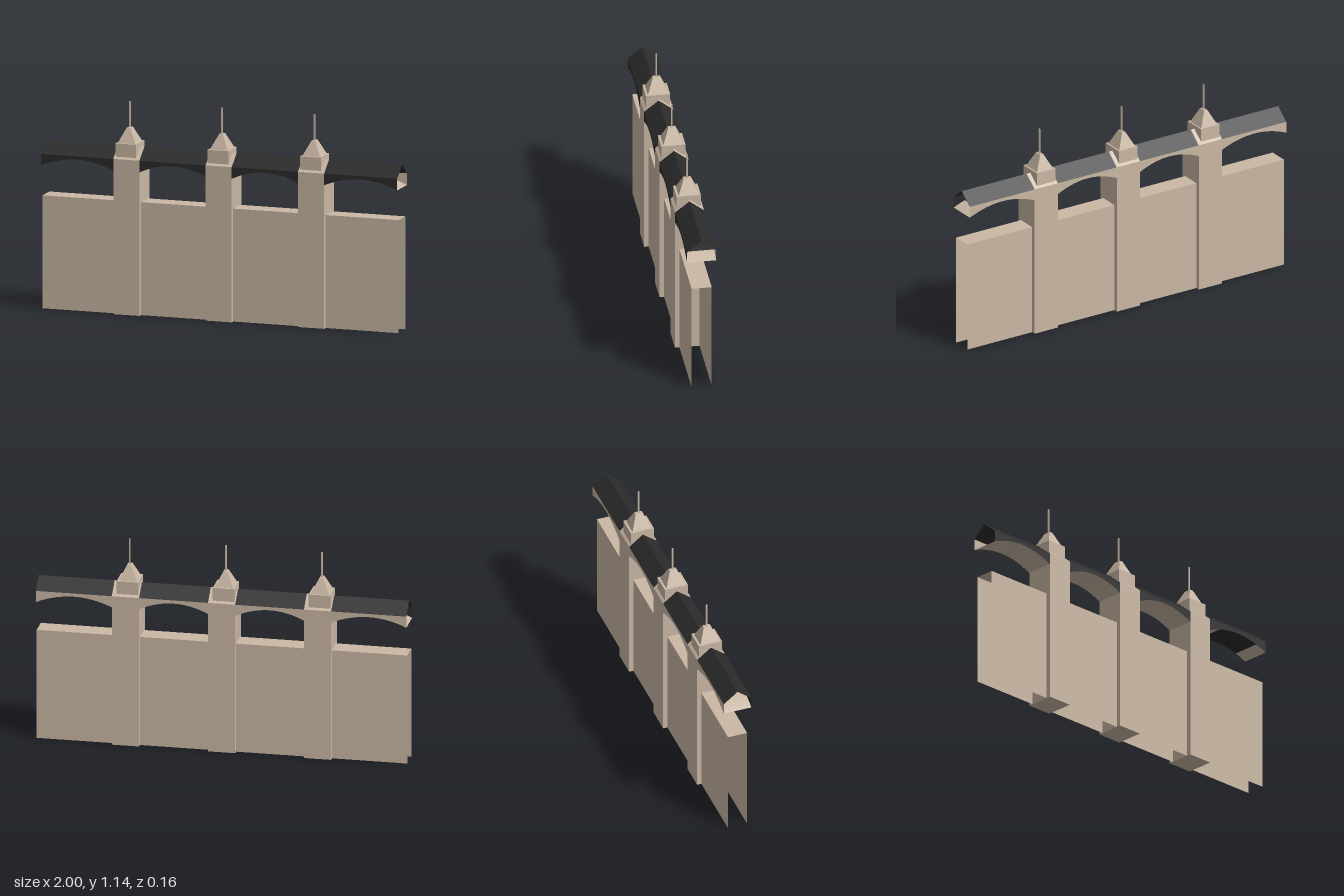
import * as THREE from 'three';

const stone = new THREE.MeshStandardMaterial({ color: 0xcab8a5, side: THREE.DoubleSide });
stone.name = 'stone';
const slate = new THREE.MeshStandardMaterial({ color: 0x2b2b2b, side: THREE.DoubleSide });
slate.name = 'slate';

const HALF = 0.078, EAVE = 0.838, RIDGE = 0.9;
const SPRING = 0.775, RISE = 0.045;
const WALL_Z = 0.054, WALL_TOP = 0.61;

function add(parent, name, geometry, material, x = 0, y = 0, z = 0) {
  const mesh = new THREE.Mesh(geometry, material);
  mesh.name = name;
  mesh.position.set(x, y, z);
  parent.add(mesh);
  return mesh;
}

// Open sheet: a [z, y] polyline swept along x from x0 to x1
function sweepX(profile, x0, x1) {
  const pos = [];
  for (let i = 0; i < profile.length - 1; i++) {
    const [za, ya] = profile[i], [zb, yb] = profile[i + 1];
    pos.push(x0, ya, za, x1, ya, za, x1, yb, zb, x0, ya, za, x1, yb, zb, x0, yb, zb);
  }
  const g = new THREE.BufferGeometry();
  g.setAttribute('position', new THREE.Float32BufferAttribute(pos, 3));
  g.computeVertexNormals();
  return g;
}

// Underside of an arch between parameters t0 and t1 (-1..1 across the bay)
function soffit(archPoint, t0, t1) {
  const g = new THREE.PlaneGeometry(1, 1, 16, 1);
  const p = g.attributes.position;
  for (let i = 0; i < p.count; i++) {
    const [x, y] = archPoint(t0 + (p.getX(i) + 0.5) * (t1 - t0));
    p.setXYZ(i, x, y, p.getY(i) > 0 ? HALF : -HALF);
  }
  g.computeVertexNormals();
  return g;
}

function makeBay(x0, x1, darkCrown) {
  const bay = new THREE.Group();
  bay.name = 'archBay';
  const mid = (x0 + x1) / 2, half = (x1 - x0) / 2;
  const archPoint = t => [mid + half * t, SPRING + RISE * (1 - t * t)];

  // spandrel faces above the arch
  const shape = new THREE.Shape();
  shape.moveTo(x0, EAVE);
  for (let i = 0; i <= 24; i++) shape.lineTo(...archPoint(-1 + i / 12));
  shape.lineTo(x1, EAVE);
  const face = new THREE.ShapeGeometry(shape);
  add(bay, 'frontSpandrel', face, slate, 0, 0, HALF);
  add(bay, 'backSpandrel', face.clone().rotateY(Math.PI).translate(2 * mid, 0, 0), stone, 0, 0, -HALF);

  // curved underside
  const c = 0.66;
  add(bay, 'archCrown', soffit(archPoint, -c, c), darkCrown ? slate : stone);
  add(bay, 'archFoot', soffit(archPoint, -1, -c), stone);
  add(bay, 'archFoot', soffit(archPoint, c, 1), stone);

  // thin pitched roof, open at its ends
  add(bay, 'roof', sweepX([[HALF, EAVE], [0, RIDGE], [-HALF, EAVE]], x0, x1), slate);

  // hollow wall: front, top and back sheets
  add(bay, 'wall', sweepX([[WALL_Z, 0], [WALL_Z, WALL_TOP], [-WALL_Z, WALL_TOP], [-WALL_Z, 0]], x0, x1), stone);
  return bay;
}

function makeTower(x0, x1) {
  const tower = new THREE.Group();
  tower.name = 'tower';
  const w = x1 - x0, mid = (x0 + x1) / 2, top = mid - 0.008;
  add(tower, 'pillar', new THREE.BoxGeometry(w, EAVE, HALF * 2), stone, mid, EAVE / 2);

  // stone gable across the pillar
  const gable = new THREE.Shape([
    new THREE.Vector2(-HALF, EAVE), new THREE.Vector2(HALF, EAVE), new THREE.Vector2(0, RIDGE),
  ]);
  const gableGeo = new THREE.ExtrudeGeometry(gable, { depth: w, bevelEnabled: false });
  add(tower, 'gable', gableGeo.rotateY(Math.PI / 2), stone, x0);

  // lantern block, tapered cap and spike
  add(tower, 'block', new THREE.BoxGeometry(0.117, 0.08, 0.13), stone, top, 0.88);
  const cap = new THREE.BoxGeometry(1, 0.08, 1);
  const p = cap.attributes.position;
  for (let i = 0; i < p.count; i++) {
    const up = p.getY(i) > 0;
    p.setX(i, Math.sign(p.getX(i)) * (up ? 0.01 : 0.05));
    p.setZ(i, Math.sign(p.getZ(i)) * (up ? 0.02 : 0.053));
  }
  cap.computeVertexNormals();
  add(tower, 'cap', cap, stone, top, 0.96);
  add(tower, 'spike', new THREE.BoxGeometry(0.008, 0.14, 0.008), stone, top, 1.07);
  return tower;
}

export function createModel() {
  const model = new THREE.Group();
  model.name = 'arcadeWall';
  const towers = [[-0.594, -0.447], [-0.076, 0.071], [0.443, 0.59]];
  let start = -1;
  for (const [x0, x1] of towers) {
    model.add(makeBay(start, x0, false), makeTower(x0, x1));
    start = x1;
  }
  model.add(makeBay(start, 1, true));
  return model;
}
